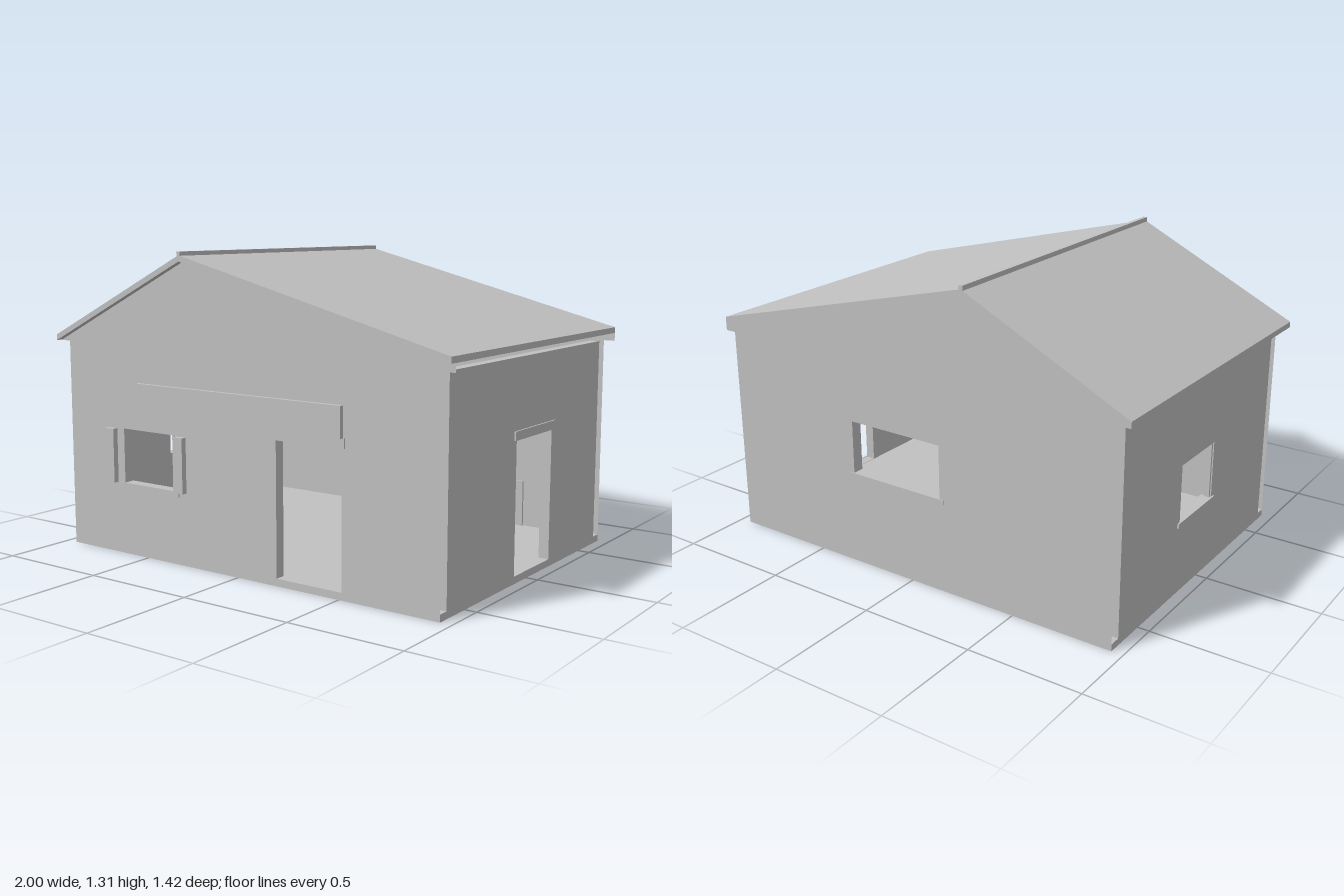
import * as THREE from 'three';

export function createModel() {
  const house = new THREE.Group();
  house.name = 'house';
  const plaster = new THREE.MeshStandardMaterial({ color: 0xc0c0c0, side: THREE.DoubleSide });
  plaster.name = 'light grey';

  const add = (name, geometry) => {
    const mesh = new THREE.Mesh(geometry, plaster);
    mesh.name = name;
    house.add(mesh);
    return mesh;
  };
  // Box given by its limits on each axis
  const box = (name, x0, x1, y0, y1, z0, z1) => {
    const mesh = add(name, new THREE.BoxGeometry(x1 - x0, y1 - y0, z1 - z0));
    mesh.position.set((x0 + x1) / 2, (y0 + y1) / 2, (z0 + z1) / 2);
    return mesh;
  };
  const outline = (points) => new THREE.Shape(points.map(([x, y]) => new THREE.Vector2(x, y)));
  const rect = (x0, x1, y0, y1) => [[x0, y0], [x1, y0], [x1, y1], [x0, y1]];
  const withHoles = (points, openings) => {
    const shape = outline(points);
    openings.forEach((o) => shape.holes.push(outline(rect(...o).reverse())));
    return shape;
  };

  // Floor slab
  box('floor', -0.95, 0.95, 0, 0.03, -0.705, 0.68);

  // Gable ends: thin facade, inner wall leaf and the lining of each opening
  const gable = [
    [-0.95, 0], [0.95, 0], [0.95, 0.91], [1, 0.91], [1, 0.945],
    [-0.268, 1.27], [-1, 0.912], [-1, 0.91], [-0.95, 0.91],
  ];
  const inner = rect(-0.95, 0.95, 0.03, 0.91);
  const gableEnd = (name, outerZ, innerZ, openings) => {
    add(name + 'Facade', new THREE.ShapeGeometry(withHoles(gable, openings))).position.z = outerZ;
    add(name + 'InnerWall', new THREE.ShapeGeometry(withHoles(inner, openings))).position.z = innerZ;
    const [z0, z1] = [Math.min(outerZ, innerZ), Math.max(outerZ, innerZ)];
    const t = 0.004;
    openings.forEach(([x0, x1, y0, y1]) => {
      box(name + 'Reveal', x0 - t, x0, y0, y1, z0, z1);
      box(name + 'Reveal', x1, x1 + t, y0, y1, z0, z1);
      box(name + 'Reveal', x0, x1, y0 - t, y0, z0, z1);
      box(name + 'Reveal', x0, x1, y1, y1 + t, z0, z1);
    });
  };
  gableEnd('front', 0.68, 0.635, [[-0.635, -0.335, 0.315, 0.55], [0.2, 0.515, 0.031, 0.587]]);
  gableEnd('back', -0.705, -0.655, [[-0.15, 0.297, 0.412, 0.643]]);

  // Side walls, drawn with -z to the right and turned to face sideways
  const sideWall = (name, x, opening) => {
    const shape = withHoles(rect(-0.635, 0.655, 0.03, 0.91), [opening]);
    const wall = add(name, new THREE.ExtrudeGeometry(shape, { depth: 0.045, bevelEnabled: false }));
    wall.rotation.y = Math.PI / 2;
    wall.position.x = x;
  };
  sideWall('leftWall', 0.905, [-0.11, 0.2, 0.031, 0.58]);
  sideWall('rightWall', -0.95, [-0.105, 0.18, 0.32, 0.567]);
  for (const s of [-1, 1]) {
    box('wallFoot', s * 0.9275 - 0.0225, s * 0.9275 + 0.0225, 0.005, 0.03, -0.655, 0.635);
  }

  // Uneven pitched roof and ridge cap
  const roof = outline([
    [-1, 0.912], [-0.268, 1.27], [1, 0.945], [1, 0.97], [-0.268, 1.295], [-1, 0.937],
  ]);
  add('roof', new THREE.ExtrudeGeometry(roof, { depth: 1.415, bevelEnabled: false })).position.z = -0.705;
  box('ridgeCap', -0.278, -0.26, 1.285, 1.31, -0.705, 0.71);

  // Front trim: sign board, door lintel, window sill and open shutters
  box('signBoard', -0.53, 0.525, 0.63, 0.755, 0.685, 0.705);
  box('frontDoorLintel', 0.185, 0.53, 0.59, 0.63, 0.66, 0.686);
  box('frontWindowSill', -0.655, -0.315, 0.29, 0.315, 0.65, 0.686);
  for (const x of [-0.71, -0.315]) box('shutter', x, x + 0.05, 0.315, 0.55, 0.69, 0.714);
  for (const x of [-0.635, -0.345]) box('frontWindowJamb', x, x + 0.01, 0.315, 0.55, 0.645, 0.684);

  // Side and back trim
  box('sideDoorLintel', 0.93, 0.957, 0.583, 0.62, -0.22, 0.13);
  box('sideWindowSill', -0.957, -0.91, 0.3, 0.32, -0.2, 0.125);
  for (const z of [-0.18, 0.095]) box('sideWindowJamb', -0.945, -0.92, 0.32, 0.567, z, z + 0.01);
  box('backWindowSill', -0.17, 0.32, 0.392, 0.412, -0.709, -0.66);

  // Low board along the back of the room
  box('backBoard', -0.1, 0.6, 0.03, 0.24, -0.67, -0.645);

  return house;
}
